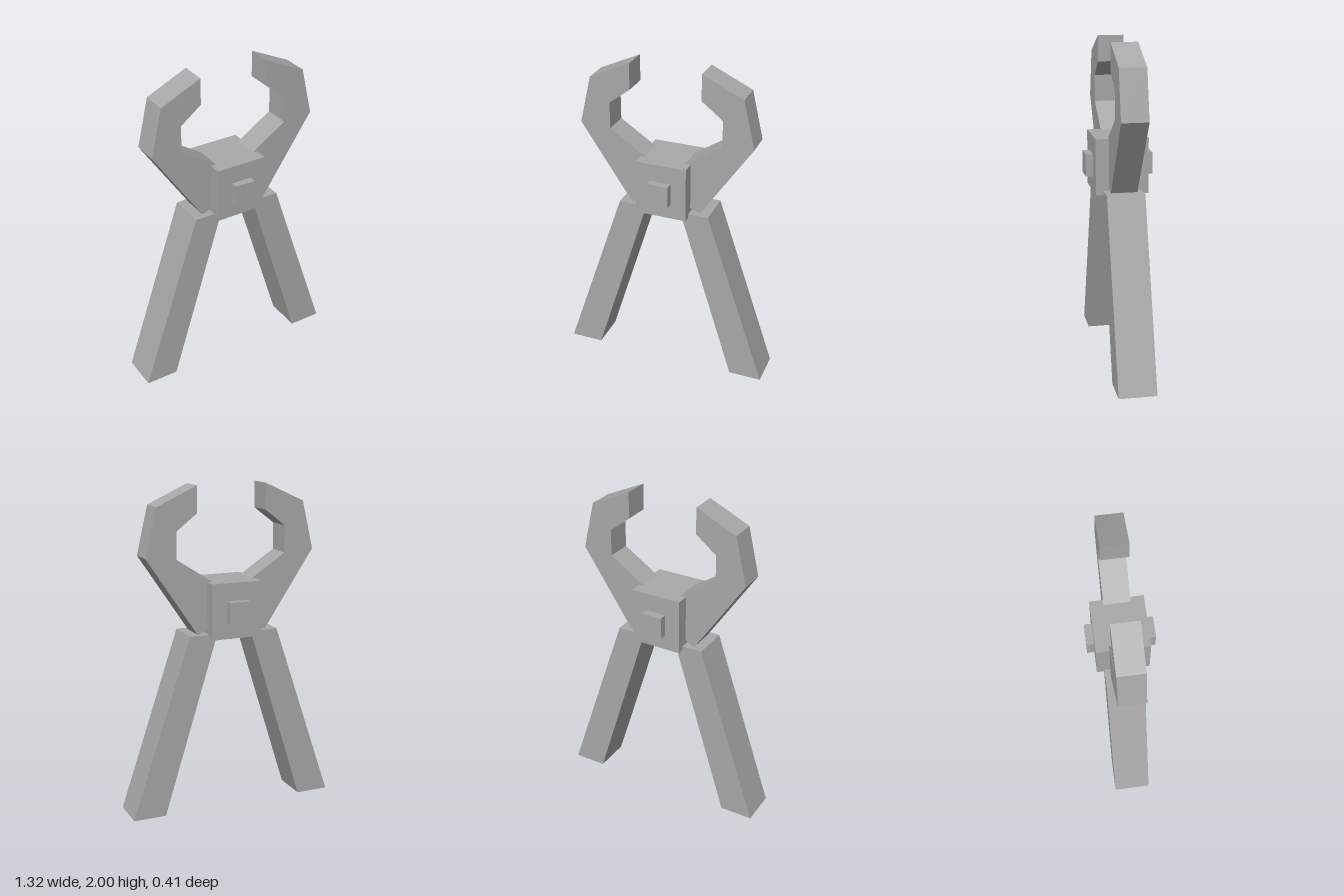
import * as THREE from 'three';

export function createModel() {
  const model = new THREE.Group();
  const steel = new THREE.MeshStandardMaterial({ color: 0xa8a8a8 });
  steel.name = 'grey steel';

  const add = (name, geometry, y = 0) => {
    const mesh = new THREE.Mesh(geometry, steel);
    mesh.name = name;
    mesh.position.y = y;
    model.add(mesh);
  };

  // Flat outline extruded evenly about z = 0; side mirrors it in x
  const plate = (points, side, depth) => {
    const shape = new THREE.Shape(points.map(([x, y]) => new THREE.Vector2(x * side, y)));
    return new THREE.ExtrudeGeometry(shape, { depth, bevelEnabled: false }).translate(0, 0, -depth / 2);
  };

  const jaw = [
    [0.22, 2], [0.22, 1.84], [0.35, 1.74], [0.35, 1.575], [0.12, 1.425],
    [0.03, 1.36], [0.03, 1.2], [0.16, 1.14], [0.22, 1.11], [0.54, 1.59], [0.47, 1.885],
  ];
  const handle = [[0.11, 1.115], [0.455, 0], [0.66, 0], [0.285, 1.115]];

  // Mirrored jaws and handles
  for (const [label, side] of [['left', 1], ['right', -1]]) {
    add(label + 'Jaw', plate(jaw, side, 0.16));
    add(label + 'Handle', plate(handle, side, 0.23));
  }

  // Pivot block with a square pin through it
  add('pivotBlock', new THREE.BoxGeometry(0.32, 0.34, 0.32), 1.26);
  add('pivotPin', new THREE.BoxGeometry(0.13, 0.135, 0.41), 1.2525);

  return model;
}
